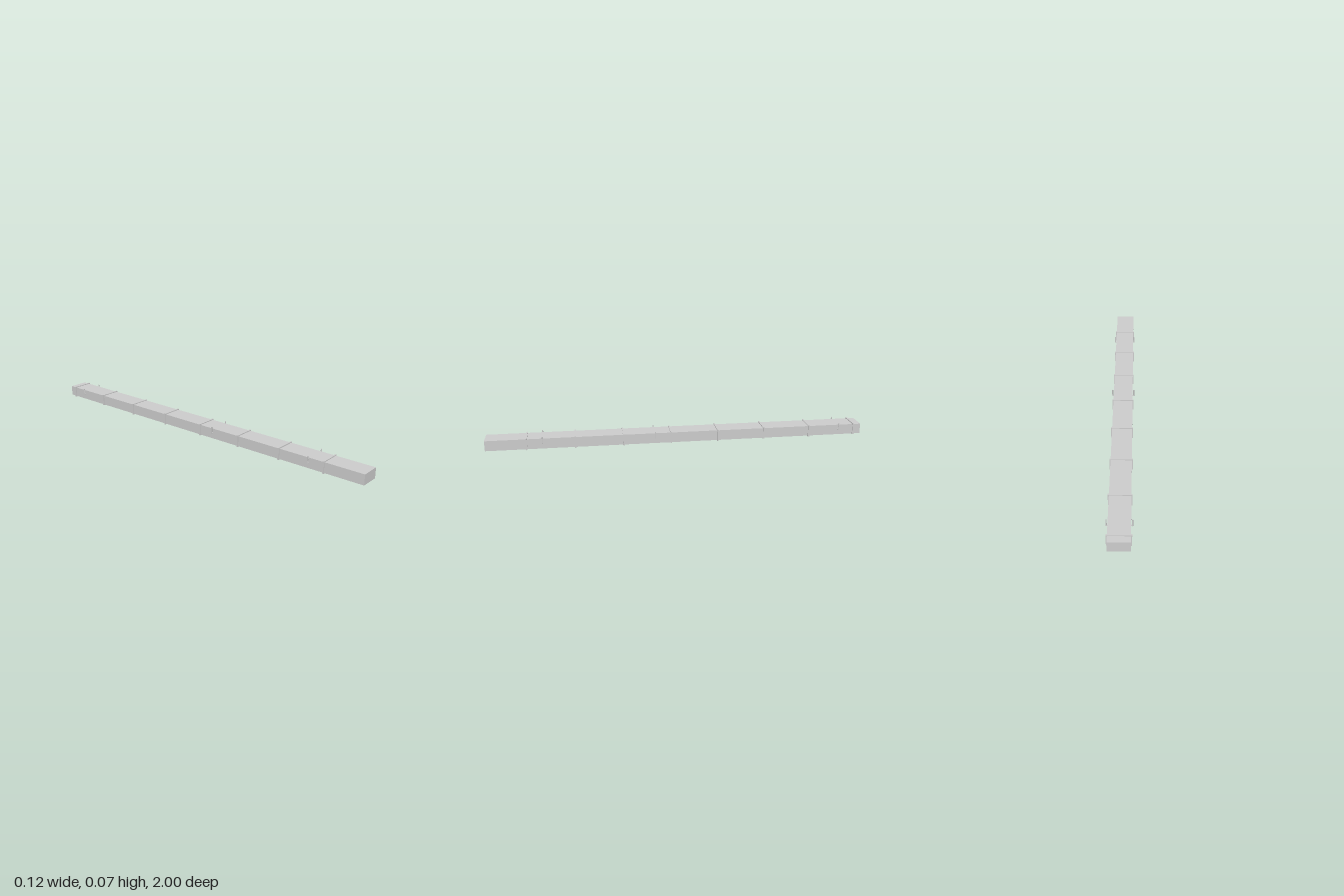
import * as THREE from 'three';

const material = new THREE.MeshStandardMaterial({ color: 0xcccccc, flatShading: true });

function box(parent, name, w, h, d, x, y, z) {
  const mesh = new THREE.Mesh(new THREE.BoxGeometry(w, h, d), material);
  mesh.name = name;
  mesh.position.set(x, y, z);
  parent.add(mesh);
  return mesh;
}

// Rectangular collar of four bars wrapped round the duct
function flange(z) {
  const g = new THREE.Group();
  g.name = 'flange';
  const t = 0.005, d = 0.008, mid = 0.0355;
  for (const s of [-1, 1]) {
    box(g, 'flangeSide', t, 0.062, d, s * 0.0535, mid, 0);
    box(g, 'flangeBar', 0.102, t, d, 0, mid + s * 0.0285, 0);
  }
  g.position.z = z;
  return g;
}

// Shallow vent under the duct: border and cross slats
function vent(z) {
  const g = new THREE.Group();
  g.name = 'vent';
  const w = 0.056, l = 0.085, h = 0.008, t = 0.003;
  for (const s of [-1, 1]) {
    box(g, 'ventSide', t, h, l, s * (w - t) / 2, h / 2, 0);
    box(g, 'ventEnd', w - 2 * t, h, t, 0, h / 2, s * (l - t) / 2);
  }
  for (let i = -2; i <= 2; i++) {
    const slat = box(g, 'ventSlat', w - 2 * t, 0.007, 0.002, 0, 0.0045, i * 0.0135);
    slat.rotation.x = 0.5;
  }
  g.position.z = z;
  return g;
}

export function createModel() {
  const model = new THREE.Group();
  model.name = 'airDuct';

  // Long closed duct
  box(model, 'ductBody', 0.102, 0.054, 2, 0, 0.035, 0);

  // Evenly spaced flanges
  for (let i = 0; i < 8; i++) model.add(flange(0.79 - i * 0.25));

  // Pairs of upright hanger rods
  for (const z of [0.71, 0.125, -0.875]) {
    for (const s of [-1, 1]) {
      const rod = new THREE.Mesh(new THREE.CylinderGeometry(0.003, 0.003, 0.037, 8), material);
      rod.name = 'hangerRod';
      rod.position.set(s * 0.0575, 0.0535, z);
      model.add(rod);
      box(model, 'hangerLug', 0.006, 0.004, 0.005, s * 0.0535, 0.037, z);
    }
  }

  // Vents on the underside
  for (const z of [0.628, 0.043, -0.542]) model.add(vent(z));

  return model;
}
